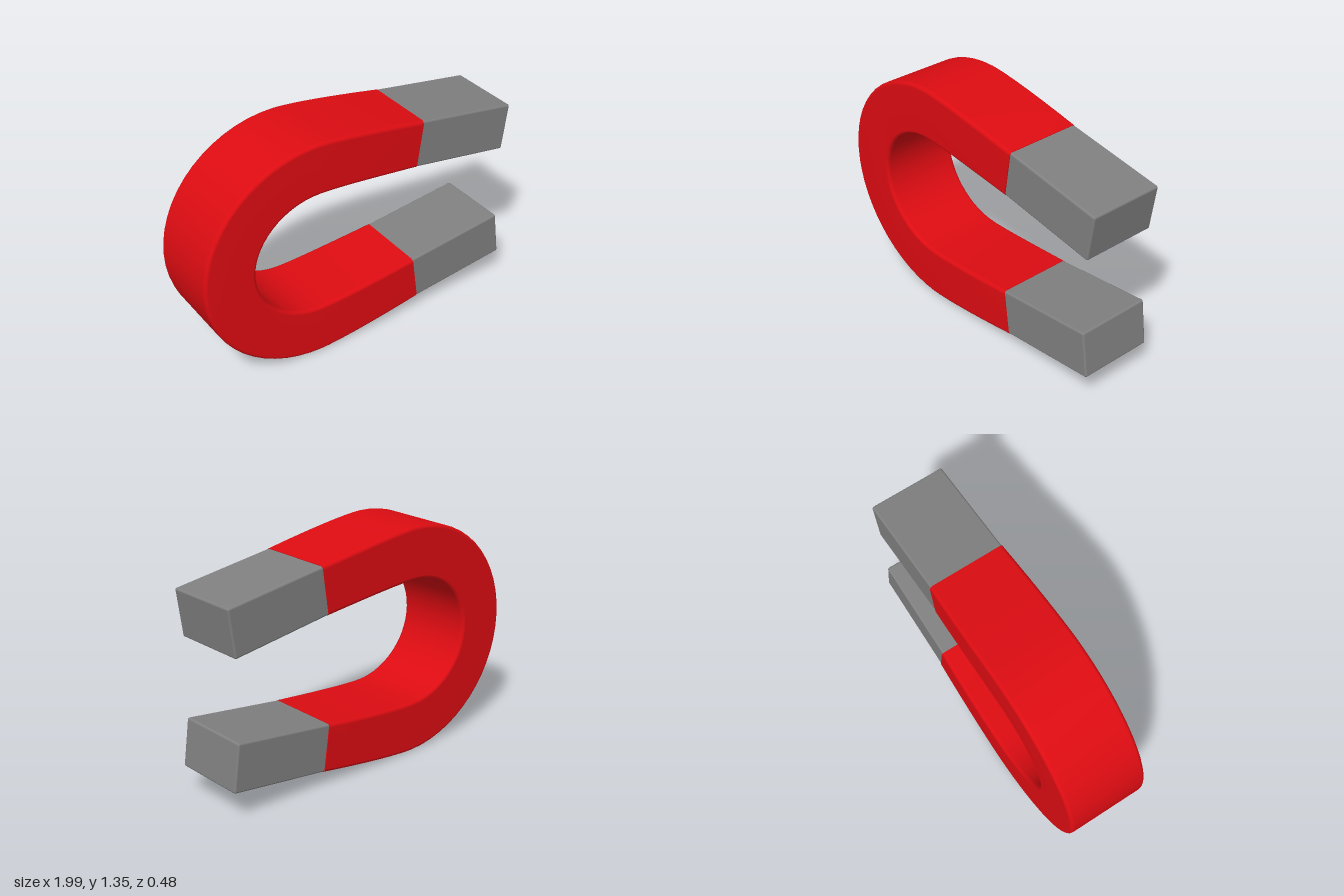
import * as THREE from 'three';
import { RoundedBoxGeometry } from 'three/addons/geometries/RoundedBoxGeometry.js';

const MID = 0.677;            // height of the mirror plane
const END = [0.363, 0.45];    // end of the red leg, relative to MID

// Rounded rectangle outline, counter-clockwise, as [u, v] pairs
function roundedSection(hu, hv, r, steps = 4) {
  const pts = [];
  [[1, 1], [-1, 1], [-1, -1], [1, -1]].forEach(([su, sv], q) => {
    for (let i = 0; i <= steps; i++) {
      const a = (q + i / steps) * Math.PI / 2;
      pts.push([su * (hu - r) + r * Math.cos(a), sv * (hv - r) + r * Math.sin(a)]);
    }
  });
  return pts;
}

// Stations along the horseshoe: point, tangent, half thickness, half depth
function stations() {
  const V = (x, y) => new THREE.Vector2(x, y);
  const upper = new THREE.QuadraticBezierCurve(V(...END), V(-0.14, 0.521), V(-0.29, 0.521));
  const bend = new THREE.EllipseCurve(-0.29, 0, 0.555, 0.521, Math.PI / 2, Math.PI * 1.5);
  const lower = new THREE.QuadraticBezierCurve(V(-0.29, -0.521), V(-0.14, -0.521), V(END[0], -END[1]));
  const list = [];
  const add = (curve, n, from) => {
    for (let i = from; i <= n; i++) {
      const p = curve.getPoint(i / n), t = curve.getTangent(i / n);
      const k = THREE.MathUtils.clamp((p.x + 0.29) / 0.653, 0, 1);
      list.push({ p, t, hu: 0.154 - 0.0125 * k, hv: 0.238 - 0.01 * k * k });
    }
  };
  add(upper, 8, 0);
  add(bend, 28, 1);
  add(lower, 8, 1);
  return list;
}

// Sweep the section along the stations and close both ends
function horseshoeGeometry() {
  const pos = [], index = [], rings = [];
  const path = stations();
  for (const { p, t, hu, hv } of path) {
    rings.push(roundedSection(hu, hv, 0.022).map(([u, v]) => [p.x + t.y * u, MID + p.y - t.x * u, v]));
  }
  const n = rings[0].length;
  rings.forEach((ring) => ring.forEach((c) => pos.push(...c)));
  for (let i = 0; i < rings.length - 1; i++) {
    for (let j = 0; j < n; j++) {
      const a = i * n + j, b = i * n + (j + 1) % n;
      index.push(a, a + n, b, b, a + n, b + n);
    }
  }
  // End caps have their own vertices so their rims stay sharp
  [0, rings.length - 1].forEach((r) => {
    const base = pos.length / 3;
    rings[r].forEach((c) => pos.push(...c));
    for (let j = 1; j < n - 1; j++) {
      if (r === 0) index.push(base, base + j, base + j + 1);
      else index.push(base, base + j + 1, base + j);
    }
  });
  const g = new THREE.BufferGeometry();
  g.setAttribute('position', new THREE.Float32BufferAttribute(pos, 3));
  g.setIndex(index);
  g.computeVertexNormals();
  return g;
}

export function createModel() {
  const group = new THREE.Group();
  group.name = 'horseshoeMagnet';
  const red = new THREE.MeshStandardMaterial({ color: 0xdd0c12 });
  const grey = new THREE.MeshStandardMaterial({ color: 0x808080 });

  const body = new THREE.Mesh(horseshoeGeometry(), red);
  body.name = 'horseshoeBody';
  group.add(body);

  // Bare metal poles, tilted towards each other and sunk a little into the body
  const tilt = Math.atan(0.137), length = 0.64;
  const start = 0.618 - length / 2;
  for (const [side, name] of [[1, 'upperPole'], [-1, 'lowerPole']]) {
    const pole = new THREE.Mesh(new RoundedBoxGeometry(length, 0.277, 0.445, 3, 0.012), grey);
    pole.name = name;
    pole.position.set(END[0] + start * Math.cos(tilt), MID + side * (END[1] - start * Math.sin(tilt)), 0);
    pole.rotation.z = -side * tilt;
    group.add(pole);
  }
  return group;
}
